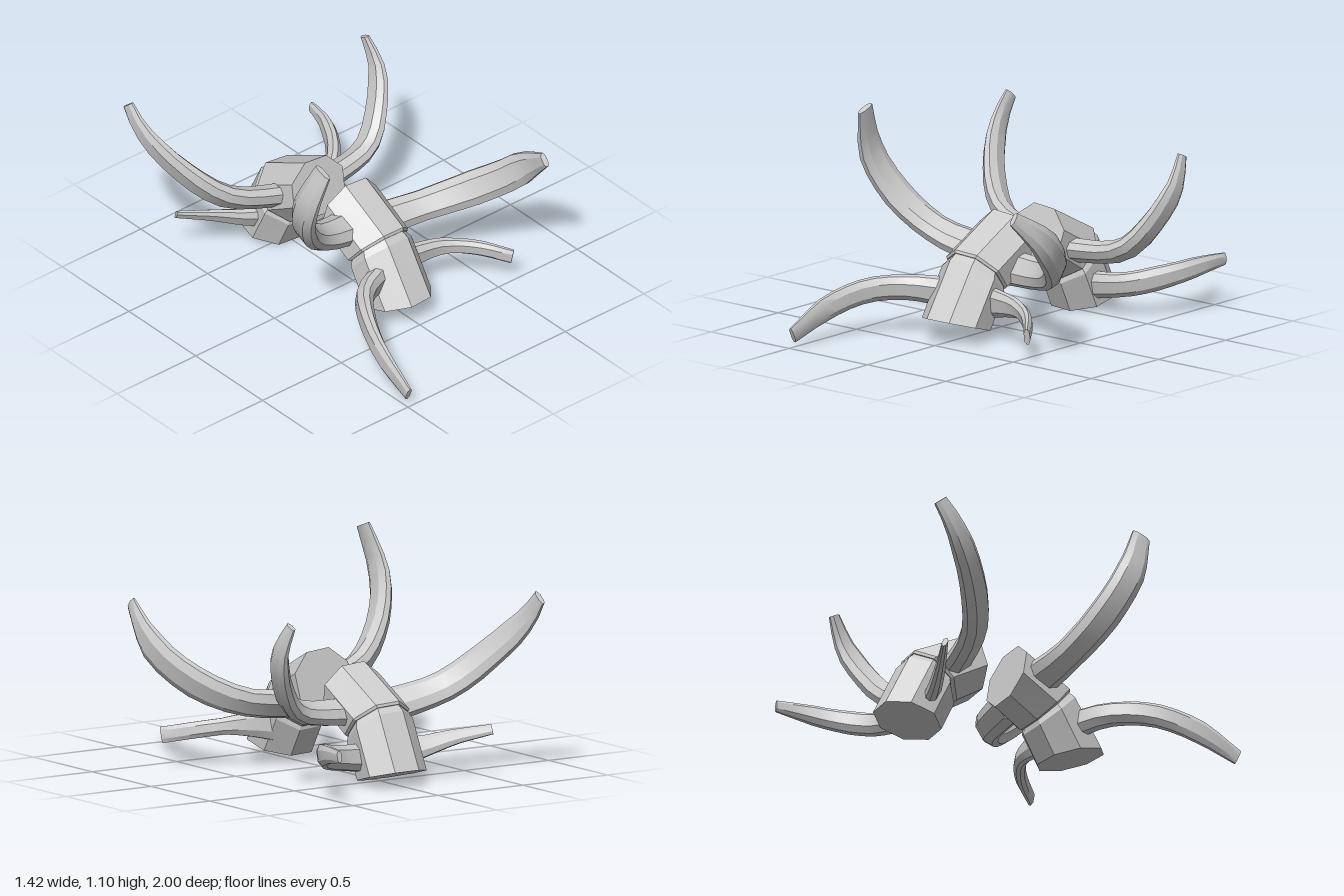
import * as THREE from 'three';
import { toCreasedNormals } from 'three/addons/utils/BufferGeometryUtils.js';

const V = (x, y, z) => new THREE.Vector3(x, y, z);
const material = new THREE.MeshStandardMaterial({ color: 0xcccccc });

// Closed solid skinned over rings of equal point count, with capped ends
function loft(rings, crease) {
  const n = rings[0].length;
  const pos = rings.flat().flatMap((p) => [p.x, p.y, p.z]);
  const tris = [];
  for (let i = 0; i < rings.length - 1; i++) {
    for (let j = 0; j < n; j++) {
      const a = i * n + j, b = i * n + (j + 1) % n;
      tris.push([a, b, b + n], [a, b + n, a + n]);
    }
  }
  const last = (rings.length - 1) * n;
  for (let j = 1; j < n - 1; j++) {
    tris.push([0, j + 1, j], [last, last + j, last + j + 1]);
  }
  // Turn all faces outward
  const pts = rings.flat();
  const c = pts.reduce((s, p) => s.add(p), V(0, 0, 0)).divideScalar(pts.length);
  const vol = tris.reduce((s, t) => {
    const [p, q, r] = t.map((k) => pts[k].clone().sub(c));
    return s + p.dot(q.cross(r));
  }, 0);
  if (vol < 0) tris.forEach((t) => t.reverse());
  const geo = new THREE.BufferGeometry();
  geo.setAttribute('position', new THREE.Float32BufferAttribute(pos, 3));
  geo.setIndex(tris.flat());
  return toCreasedNormals(geo, crease);
}

function add(parent, name, geo) {
  const mesh = new THREE.Mesh(geo, material);
  mesh.name = name;
  parent.add(mesh);
}

// Octagonal ring spanning two [z, y] points, turned slightly about its axis
function octagon([z0, y0], [z1, y1], scale = 1) {
  const centre = V(0, (y0 + y1) / 2, (z0 + z1) / 2);
  const up = V(0, (y0 - y1) / 2, (z0 - z1) / 2).multiplyScalar(scale / 0.956);
  return Array.from({ length: 8 }, (_, i) => {
    const a = THREE.MathUtils.degToRad(28 + 45 * i);
    return centre.clone().addScaledVector(up, Math.cos(a)).add(V(0.172 * scale * Math.sin(a), 0, 0));
  });
}

const mix = (a, b, t) => a.map((v, i) => v + (b[i] - v) * t);

// Two wedge-shaped vertebrae: head face, shared seam, tail face
function spine(parent, head, seam, tail) {
  const at = (a, b, t, s) => octagon(mix(a[0], b[0], t), mix(a[1], b[1], t), s);
  add(parent, 'upperVertebra', loft([at(head, seam, 0), at(head, seam, 0.96), at(head, seam, 1, 0.93)], 0.3));
  add(parent, 'lowerVertebra', loft([at(seam, tail, 0, 0.9), at(seam, tail, 0.12), at(seam, tail, 1)], 0.3));
}

// Half-width and half-thickness factors around the rib's cross-section
const section = [[1, -0.35], [1, 0.35], [0.55, 1], [-0.55, 1], [-1, 0.35], [-1, -0.35], [-0.5, -0.9], [0.5, -0.9]];

// Curved flat rib; widths and thicknesses run from root to tip
function rib(parent, name, path, widths, thicks) {
  const points = path.map((p) => V(...p));
  const curve = new THREE.CatmullRomCurve3(points, false, 'centripetal');
  const d = points[points.length - 1].clone().sub(points[0]);
  const normal = V(0, d.z, -d.y).normalize();
  const sample = (list, t) => {
    const f = t * (list.length - 1), i = Math.min(Math.floor(f), list.length - 2);
    return THREE.MathUtils.lerp(list[i], list[i + 1], f - i);
  };
  const steps = 12;
  const rings = [];
  for (let i = 0; i <= steps; i++) {
    const t = i / steps;
    const tangent = curve.getTangentAt(t);
    const wide = normal.clone().addScaledVector(tangent, -normal.dot(tangent)).normalize();
    const thin = tangent.clone().cross(wide);
    const w = sample(widths, t) / 2, h = sample(thicks, t) / 2;
    rings.push(section.map(([a, b]) =>
      curve.getPointAt(t).addScaledVector(wide, a * w).addScaledVector(thin, b * h)));
  }
  add(parent, name, loft(rings, 0.45));
}

export function createModel() {
  const model = new THREE.Group();
  model.name = 'ribbedSpine';
  const front = new THREE.Group();
  front.name = 'frontSection';
  const back = new THREE.Group();
  back.name = 'backSection';
  model.add(front, back);

  // Vertebrae, as [z, y] ends of each face
  spine(front, [[0.003, 0.585], [-0.065, 0.28]], [[0.3, 0.43], [0.09, 0.19]], [[0.5, 0.13], [0.18, 0.035]]);
  spine(back, [[-0.3, 0.56], [-0.22, 0.275]], [[-0.61, 0.4], [-0.37, 0.175]], [[-0.765, 0.09], [-0.45, 0.005]]);

  // Front ribs
  rib(front, 'upperLeftRib',
    [[0.08, 0.32, 0.03], [0.36, 0.34, 0.1], [0.54, 0.42, 0.23], [0.65, 0.54, 0.39], [0.68, 0.64, 0.5], [0.65, 0.775, 0.67]],
    [0.17, 0.15, 0.17, 0.16, 0.07], [0.11, 0.1, 0.09, 0.08, 0.03]);
  rib(front, 'upperRightRib',
    [[-0.08, 0.4, 0.08], [-0.3, 0.46, 0.12], [-0.46, 0.6, 0.2], [-0.55, 0.77, 0.28], [-0.565, 0.89, 0.33], [-0.53, 1.085, 0.4]],
    [0.18, 0.15, 0.16, 0.15, 0.1], [0.12, 0.11, 0.09, 0.07, 0.03]);
  rib(front, 'lowerLeftRib',
    [[0.08, 0.19, 0.22], [0.33, 0.2, 0.27], [0.47, 0.18, 0.36], [0.59, 0.145, 0.5]],
    [0.17, 0.12, 0.08, 0.08, 0.08], [0.08, 0.07, 0.06, 0.05, 0.03]);
  rib(front, 'lowerRightRib',
    [[-0.08, 0.22, 0.3], [-0.25, 0.235, 0.39], [-0.38, 0.23, 0.56], [-0.46, 0.17, 0.76], [-0.487, 0.07, 0.99]],
    [0.15, 0.12, 0.12, 0.12, 0.08], [0.1, 0.09, 0.07, 0.05, 0.025]);

  // Back ribs
  rib(back, 'upperLeftRib',
    [[0.08, 0.33, -0.37], [0.43, 0.38, -0.41], [0.56, 0.53, -0.48], [0.625, 0.7, -0.56], [0.61, 0.84, -0.63]],
    [0.17, 0.14, 0.14, 0.13, 0.06], [0.11, 0.1, 0.09, 0.07, 0.03]);
  rib(back, 'upperRightRib',
    [[-0.08, 0.34, -0.4], [-0.4, 0.43, -0.48], [-0.58, 0.6, -0.62], [-0.68, 0.78, -0.78], [-0.69, 0.89, -0.87]],
    [0.18, 0.16, 0.16, 0.14, 0.08], [0.11, 0.1, 0.09, 0.07, 0.03]);
  rib(back, 'lowerLeftRib',
    [[0.08, 0.13, -0.52], [0.32, 0.16, -0.57], [0.47, 0.205, -0.7], [0.55, 0.24, -0.86], [0.575, 0.25, -0.99]],
    [0.14, 0.12, 0.12, 0.1, 0.06], [0.09, 0.08, 0.07, 0.06, 0.025]);
  rib(back, 'lowerRightRib',
    [[-0.08, 0.14, -0.54], [-0.2, 0.165, -0.58], [-0.34, 0.205, -0.64], [-0.51, 0.24, -0.725]],
    [0.14, 0.1, 0.07, 0.05], [0.08, 0.06, 0.04, 0.025]);

  return model;
}
